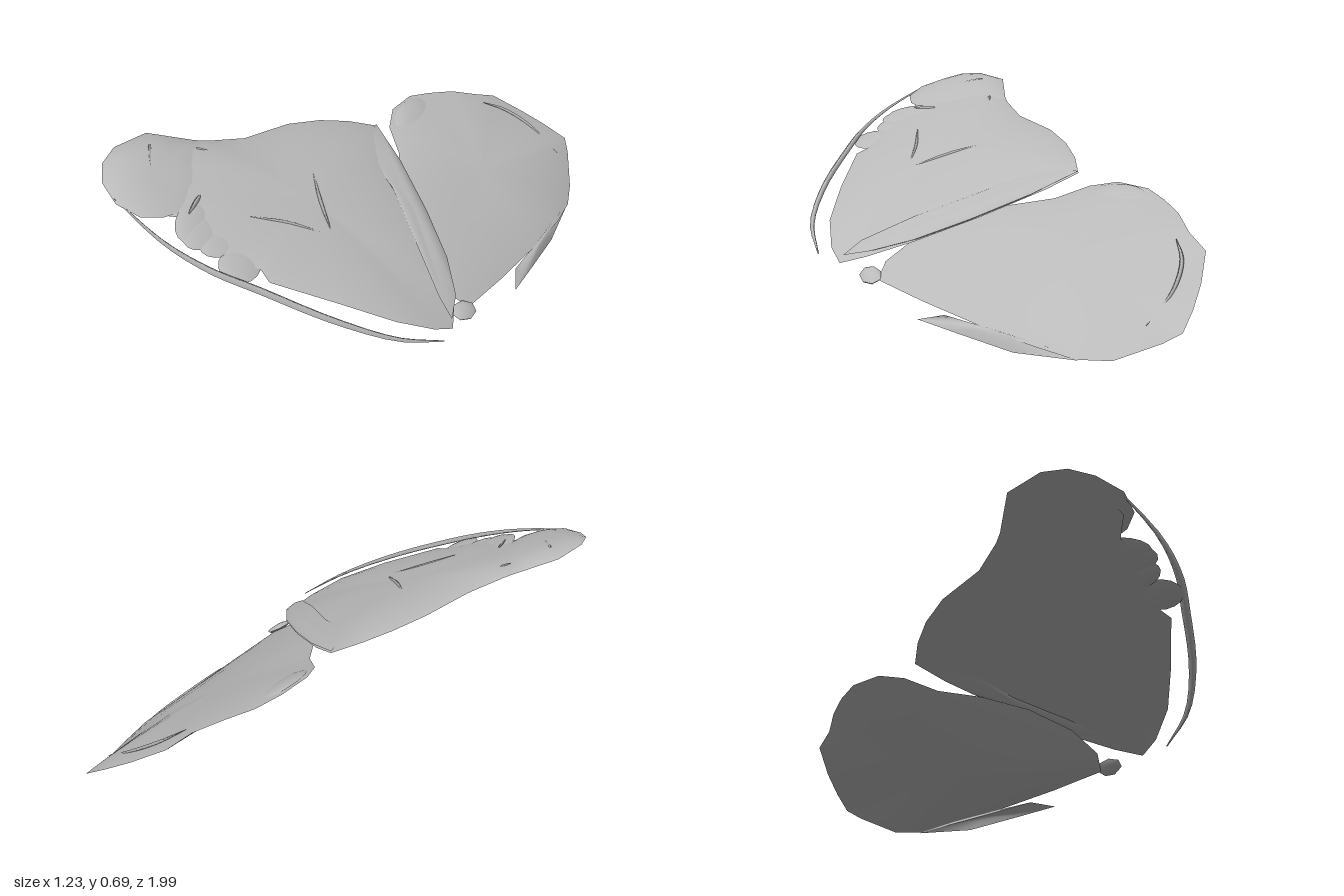
import * as THREE from 'three';

const grey = new THREE.MeshStandardMaterial({ color: 0xbababa, side: THREE.DoubleSide });
grey.name = 'wing grey';

// Sloping planes the two wings lie on
const fore = (x, z) => 0.411 - 0.43 * x + 0.015 * z;
const hind = (x, z) => 0.372 - 0.56 * x + 0.015 * z;

function mesh(name, positions, index) {
  const g = new THREE.BufferGeometry();
  g.setAttribute('position', new THREE.Float32BufferAttribute(positions, 3));
  g.setIndex(index);
  g.computeVertexNormals();
  const m = new THREE.Mesh(g, grey);
  m.name = name;
  return m;
}

// Thin cushion: outline of [x, z, edge offset], domed above and below its plane
function cushion(name, plane, outline, [cx, cz], up, down, base = 0) {
  let area = 0;
  outline.forEach(([x, z], i) => {
    const [x2, z2] = outline[(i + 1) % outline.length];
    area += x * z2 - x2 * z;
  });
  const pts = area > 0 ? [...outline].reverse() : outline;
  const n = pts.length, pos = [], idx = [];
  const rings = [1, 0.95, 0.85, 0.65, 0.4, 0.15, 0];
  for (const lift of [up, -down]) {
    const start = pos.length / 3;
    for (const t of rings) {
      for (const [px, pz, dy = 0] of pts) {
        const x = cx + (px - cx) * t, z = cz + (pz - cz) * t;
        pos.push(x, plane(x, z) + base + dy * t * t + lift * (1 - t ** 3), z);
      }
    }
    for (let r = 0; r < rings.length - 1; r++) {
      for (let i = 0; i < n; i++) {
        const a = start + r * n + i, b = start + r * n + (i + 1) % n;
        const c = a + n, d = b + n;
        if (lift > 0) idx.push(a, b, c, b, d, c);
        else idx.push(a, c, b, b, c, d);
      }
    }
  }
  return mesh(name, pos, idx);
}

// Slender tapered blade along a curve of [x, z, offset], with a diamond section
function blade(name, plane, path, width, height) {
  const curve = new THREE.CatmullRomCurve3(path.map(([x, z, dy]) => new THREE.Vector3(x, plane(x, z) + dy, z)));
  const pos = [], idx = [], steps = 20;
  for (let i = 0; i <= steps; i++) {
    const t = i / steps, p = curve.getPoint(t), d = curve.getTangent(t);
    const side = new THREE.Vector3(-d.z, 0, d.x).normalize();
    const k = 0.15 + 0.85 * Math.sin(Math.PI * t);
    for (const [u, v] of [[1, 0], [0, 1], [-1, 0], [0, -1]]) {
      const x = p.x + side.x * u * width * k, z = p.z + side.z * u * width * k;
      pos.push(x, p.y + plane(x, z) - plane(p.x, p.z) + v * height * k, z);
    }
  }
  for (let i = 0; i < steps; i++) {
    for (let j = 0; j < 4; j++) {
      const a = i * 4 + j, b = i * 4 + (j + 1) % 4;
      idx.push(a, b, a + 4, b, b + 4, a + 4);
    }
  }
  idx.push(0, 2, 1, 0, 3, 2);
  const e = steps * 4;
  idx.push(e, e + 1, e + 2, e, e + 2, e + 3);
  return mesh(name, pos, idx);
}

function ellipse(cx, cz, rx, rz, turn = 0, n = 16) {
  return Array.from({ length: n }, (_, i) => {
    const a = i / n * Math.PI * 2, u = Math.cos(a) * rx, v = Math.sin(a) * rz;
    return [cx + u * Math.cos(turn) - v * Math.sin(turn), cz + u * Math.sin(turn) + v * Math.cos(turn)];
  });
}

export function createModel() {
  const model = new THREE.Group();
  model.name = 'wingPair';

  const front = new THREE.Group();
  front.name = 'frontWing';
  front.add(
    cushion('frontWingPanel', fore, [
      [-0.12, -0.19], [0, -0.13], [0.22, 0.02], [0.42, 0.18], [0.53, 0.32, -0.015], [0.58, 0.42, -0.03],
      [0.55, 0.5, -0.005], [0.46, 0.61, 0.025], [0.3, 0.72, 0.04], [0.1, 0.84, 0.04], [0.05, 0.82, 0.04],
      [-0.05, 0.88, 0.035], [-0.2, 0.9, 0.03], [-0.27, 0.86, 0.025], [-0.36, 0.93, 0.01], [-0.5, 0.9],
      [-0.57, 0.76], [-0.57, 0.62], [-0.45, 0.46], [-0.38, 0.33], [-0.33, 0.12], [-0.27, -0.01],
      [-0.2, -0.11],
    ], [-0.03, 0.42], 0.055, 0.01),
    // Rounded tip lobe
    cushion('tipLobe', fore, [
      [-0.44, 0.46], [-0.34, 0.55, 0.02], [-0.28, 0.68, 0.03], [-0.265, 0.8, 0.03], [-0.29, 0.9, 0.03],
      [-0.34, 0.96, 0.025], [-0.43, 0.975, 0.015], [-0.53, 0.93], [-0.59, 0.86], [-0.617, 0.77],
      [-0.6, 0.62], [-0.52, 0.54],
    ], [-0.44, 0.75], 0.042, 0.005),
    // Raised band along the leading edge
    cushion('leadingBand', fore, [
      [-0.12, -0.19], [0.05, -0.1], [0.25, 0.04], [0.42, 0.18], [0.53, 0.31], [0.57, 0.41, -0.01],
      [0.5, 0.38, 0.01], [0.33, 0.25, 0.025], [0.12, 0.08, 0.025], [-0.08, -0.03, 0.01],
    ], [0.23, 0.1], 0.024, 0.025, 0.008),
  );

  // Flat scalloped lobes on the outer edge
  for (const [x, z, rx, rz, turn] of [
    [-0.01, 0.855, 0.065, 0.09, -0.15], [-0.1, 0.83, 0.05, 0.09, 0.2],
    [-0.17, 0.84, 0.055, 0.1, -0.1], [-0.22, 0.83, 0.055, 0.11, -0.35],
  ]) front.add(cushion('edgeScallop', fore, ellipse(x, z, rx, rz, turn), [x, z], 0.011, 0.014, 0.034));

  // Creases standing out of the front wing
  for (const path of [
    [[-0.12, 0.27, 0.05], [0, 0.39, 0.055], [0.13, 0.5, 0.054]],
    [[0.13, 0.5, 0.054], [0, 0.58, 0.057], [-0.1, 0.67, 0.055]],
    [[-0.53, 0.68, 0.034], [-0.45, 0.77, 0.041]],
    [[-0.27, 0.73, 0.045], [-0.24, 0.83, 0.045]],
    [[-0.43, 0.55, 0.03], [-0.36, 0.5, 0.025]],
  ]) front.add(blade('wingCrease', fore, path, 0.007, 0.006));

  // Loose rim strip outside the front wing
  front.add(blade('outerRim', fore, [
    [0.6, 0.52, 0], [0.5, 0.67, 0.025], [0.32, 0.8, 0.042], [0.1, 0.9, 0.046],
    [-0.05, 0.96, 0.04], [-0.22, 0.985, 0.03], [-0.45, 0.96, 0.015],
  ], 0.016, 0.012));

  const rear = new THREE.Group();
  rear.name = 'rearWing';
  rear.add(
    cushion('rearWingPanel', hind, [
      [0.37, -1], [0.28, -0.98], [0.18, -0.945], [0.06, -0.885, 0.005], [0.02, -0.79, 0.02],
      [-0.05, -0.7, 0.015], [-0.11, -0.6], [-0.145, -0.5], [-0.145, -0.36], [-0.1, -0.26],
      [0, -0.17, 0.01], [0.1, -0.02, 0.03], [0.22, 0.12, 0.045], [0.36, 0.23, 0.05], [0.48, 0.27, 0.045],
      [0.55, 0.24, 0.035], [0.56, 0, 0.02], [0.565, -0.35], [0.56, -0.53, -0.01], [0.535, -0.69, -0.035],
      [0.49, -0.81, -0.045], [0.41, -0.95, -0.015],
    ], [0.26, -0.4], 0.04, 0.035),
    // Pointed sliver at the trailing edge
    cushion('trailingSpike', hind, [
      [0.53, -0.7, -0.04], [0.572, -0.45, -0.045], [0.595, -0.22, -0.02], [0.612, -0.03],
      [0.565, -0.12],
    ], [0.57, -0.33], 0.006, 0.01),
    // Joint between the wings
    cushion('wingJoint', hind, ellipse(0.55, 0.28, 0.035, 0.06, 0.2, 7), [0.55, 0.28], 0.015, 0.02, 0.045),
    // Raised line inside the far edge
    blade('rearCrease', hind, [[0.07, -0.77, 0.03], [0.14, -0.84, 0.024], [0.25, -0.88, 0.018], [0.39, -0.87, 0.008]], 0.008, 0.008),
    // Gathered folds on the inner edge
    cushion('innerFold', hind, ellipse(-0.07, -0.41, 0.065, 0.13, -0.1), [-0.07, -0.41], 0.016, 0.01, 0.007),
  );

  model.add(front, rear);
  return model;
}
